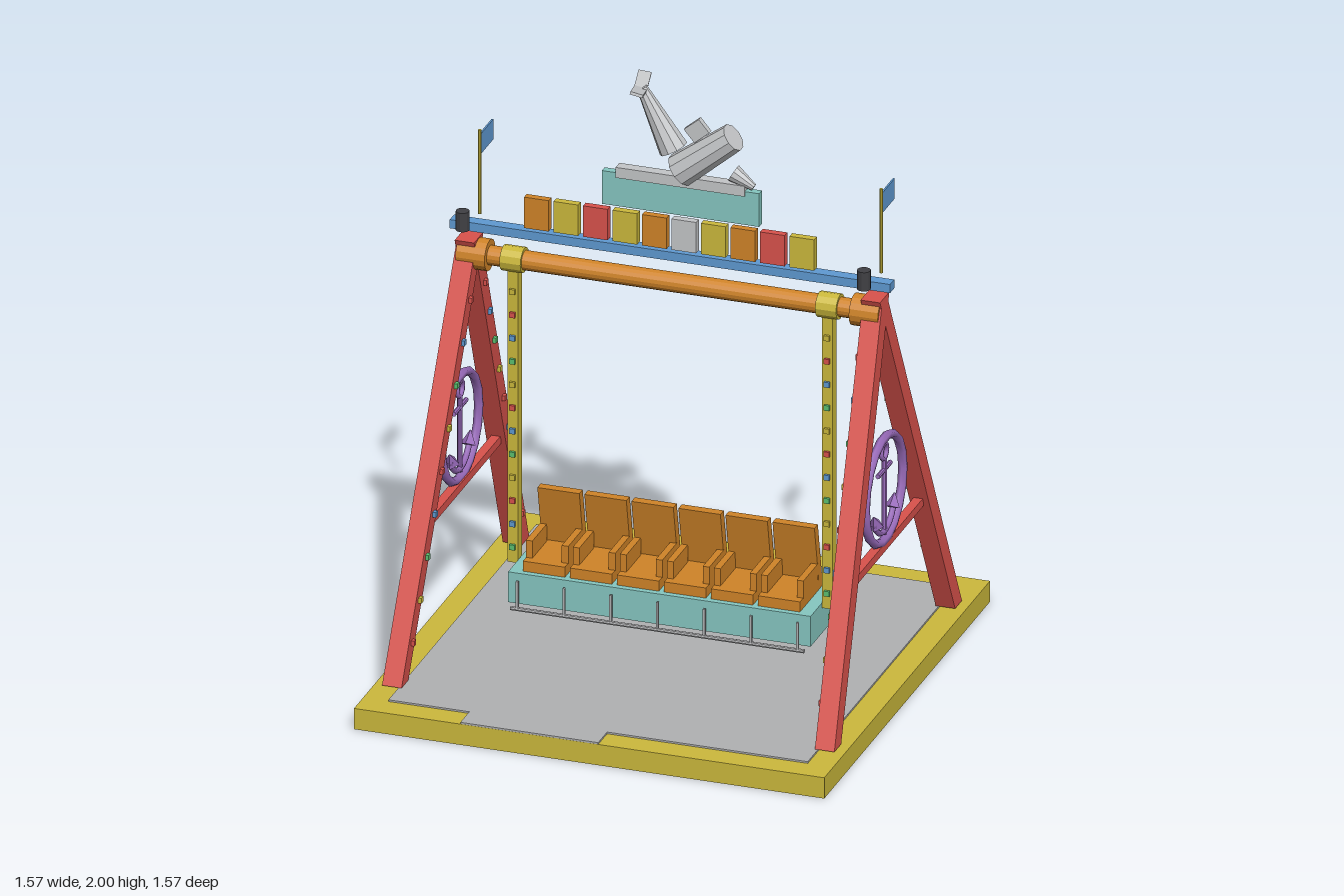
import * as THREE from 'three';

const paint = (name, color) => {
  const m = new THREE.MeshStandardMaterial({ color });
  m.name = name;
  return m;
};

export function createModel() {
  const model = new THREE.Group();
  model.name = 'swingRide';
  const yellow = paint('yellow', 0xccb93c), red = paint('red', 0xd9524c), orange = paint('orange', 0xd08428);
  const blue = paint('blue', 0x5f9ad2), teal = paint('teal', 0x86c7c1), purple = paint('purple', 0x9a6cbc);
  const floorGrey = paint('floor grey', 0xb0b1b3), pale = paint('pale grey', 0xc4c6c8);
  const dark = paint('charcoal', 0x404044), green = paint('green', 0x5cc070);
  const bulbs = [red, blue, green, yellow];

  const add = (name, geo, mat, x = 0, y = 0, z = 0, parent = model) => {
    const mesh = new THREE.Mesh(geo, mat);
    mesh.name = name;
    mesh.position.set(x, y, z);
    parent.add(mesh);
    return mesh;
  };
  const box = (name, mat, w, h, d, x, y, z, parent) => add(name, new THREE.BoxGeometry(w, h, d), mat, x, y, z, parent);
  const faceted = (geo) => {
    const g = geo.toNonIndexed();
    g.computeVertexNormals();
    return g;
  };
  // Faceted round bar running from point a to point b
  const bar = (name, mat, a, b, r0, r1 = r0, sides = 12, parent = model) => {
    const p = new THREE.Vector3(...a), q = new THREE.Vector3(...b), dir = q.clone().sub(p);
    const mesh = add(name, faceted(new THREE.CylinderGeometry(r1, r0, dir.length(), sides)), mat, 0, 0, 0, parent);
    mesh.position.copy(p).add(q).multiplyScalar(0.5);
    mesh.quaternion.setFromUnitVectors(new THREE.Vector3(0, 1, 0), dir.normalize());
    return mesh;
  };
  // Box whose top is shifted against its bottom
  const leaning = (name, mat, w, d, bottom, top, parent) => {
    const geo = new THREE.BoxGeometry(w, 1, d), p = geo.attributes.position;
    for (let i = 0; i < p.count; i++) {
      const e = p.getY(i) > 0 ? top : bottom;
      p.setXYZ(i, p.getX(i) + e[0], e[1], p.getZ(i) + e[2]);
    }
    geo.computeVertexNormals();
    return add(name, geo, mat, 0, 0, 0, parent);
  };

  // Platform and deck with an entrance gap at the front
  box('platform', yellow, 1.57, 0.072, 1.57, 0, 0.036, 0);
  box('deck', floorGrey, 1.4, 0.008, 1.4, 0, 0.074, 0);
  box('entrance', floorGrey, 0.46, 0.008, 0.085, -0.2, 0.074, 0.742);

  // Main axle and roof beam
  bar('axle', orange, [-0.64, 1.33, 0], [0.64, 1.33, 0], 0.032, 0.032, 16);
  box('roofBeam', blue, 1.47, 0.03, 0.04, 0, 1.427, 0);

  // Everything that stands at both ends
  for (const s of [-1, 1]) {
    for (const f of [-1, 1]) {
      leaning('leg', red, 0.065, 0.065, [s * 0.7225, 0.078, f * 0.572], [s * 0.6775, 1.385, f * -0.012]);
      for (let i = 0; i < 9; i++) {
        const y = 1.2 - i * 0.125, t = (1.385 - y) / 1.307;
        box('legLight', bulbs[i % 4], 0.014, 0.018, 0.018, s * (0.641 + 0.045 * t), y, f * (-0.012 + 0.584 * t));
      }
    }
    box('legBrace', red, 0.03, 0.028, 0.68, s * 0.705, 0.53, 0);
    bar('axleHub', orange, [s * 0.608, 1.33, 0], [s * 0.705, 1.33, 0], 0.052, 0.052, 16);
    bar('axleCollar', yellow, [s * 0.492, 1.33, 0], [s * 0.562, 1.33, 0], 0.042, 0.042, 12);

    // Swing arm with a row of lights
    box('swingArm', yellow, 0.036, 1.02, 0.036, s * 0.525, 0.795, 0);
    for (let i = 0; i < 12; i++) {
      box('armLight', bulbs[(i + 3) % 4], 0.018, 0.018, 0.01, s * 0.525, 1.225 - i * 0.0805, 0.022);
    }

    // Anchor emblem in a ring
    const emblem = new THREE.Group();
    emblem.name = 'anchorEmblem';
    emblem.position.set(s * 0.708, 0.72, 0);
    emblem.rotation.y = Math.PI / 2;
    model.add(emblem);
    add('ring', new THREE.TorusGeometry(0.178, 0.015, 6, 18), purple, 0, 0, 0, emblem);
    add('anchorEye', new THREE.TorusGeometry(0.026, 0.008, 6, 12), purple, 0, 0.132, 0, emblem);
    bar('anchorShank', purple, [0, -0.155, 0], [0, 0.108, 0], 0.009, 0.009, 8, emblem);
    bar('anchorStock', purple, [-0.06, 0.068, 0], [0.06, 0.068, 0], 0.008, 0.008, 8, emblem);
    const arc = add('anchorArms', new THREE.TorusGeometry(0.1, 0.01, 6, 12, Math.PI * 0.75), purple, 0, -0.045, 0, emblem);
    arc.rotation.z = Math.PI * 1.125;
    for (const f of [-1, 1]) {
      bar('anchorFluke', purple, [f * 0.075, -0.095, 0], [f * 0.1, -0.055, 0], 0.026, 0.002, 4, emblem);
    }

    // Drum, pole and flag above the beam
    bar('drum', dark, [s * 0.67, 1.445, 0.083], [s * 0.67, 1.51, 0.083], 0.022);
    bar('flagPole', yellow, [s * 0.67, 1.43, -0.08], [s * 0.67, 1.72, -0.08], 0.006, 0.006, 8);
    box('flag', blue, 0.006, 0.07, 0.115, s * 0.67, 1.67, -0.143);
  }

  // Gondola, six seats and foot rail
  box('gondola', teal, 1.01, 0.105, 0.24, 0, 0.247, 0);
  for (let i = 0; i < 6; i++) {
    const seat = new THREE.Group();
    seat.name = 'seat';
    seat.position.x = (i - 2.5) * 0.157;
    model.add(seat);
    box('cushion', orange, 0.14, 0.035, 0.19, 0, 0.317, 0.005, seat);
    leaning('backrest', orange, 0.14, 0.032, [0, 0.3, -0.1], [0, 0.53, -0.053], seat);
    for (const s of [-1, 1]) box('armrest', orange, 0.022, 0.06, 0.14, s * 0.06, 0.364, 0, seat);
  }
  bar('footRail', floorGrey, [-0.49, 0.184, 0.138], [0.49, 0.184, 0.138], 0.007, 0.007, 8);
  for (let i = -3; i <= 3; i++) box('railStrut', floorGrey, 0.008, 0.1, 0.008, i * 0.156, 0.23, 0.138);

  // Row of sign tiles and the panel above
  [orange, yellow, red, yellow, orange, pale, yellow, orange, red, yellow].forEach((mat, i) =>
    box('signTile', mat, 0.082, 0.107, 0.025, (i - 4.5) * 0.0985, 1.508, 0.015));
  box('panel', teal, 0.525, 0.115, 0.026, 0.028, 1.622, -0.014);
  box('panelCap', pale, 0.43, 0.036, 0.036, 0.028, 1.682, -0.014);

  // Leaping sea animal
  const z = -0.015;
  bar('body', pale, [0.022, 1.715, z], [0.2, 1.855, z], 0.057, 0.047, 10);
  bar('tail', pale, [0.0, 1.785, z], [-0.105, 1.98, z], 0.048, 0.018, 10);
  bar('snout', pale, [0.2, 1.732, z], [0.268, 1.692, z], 0.03, 0.012, 10);
  const fin = box('dorsalFin', pale, 0.065, 0.055, 0.02, 0.08, 1.862, z);
  fin.rotation.z = 0.7;
  for (const s of [-1, 1]) {
    const fluke = box('tailFluke', pale, 0.042, 0.01, 0.088, -0.11 + s * 0.008, 1.986, z + s * 0.043);
    fluke.rotation.set(-s * 0.2, 0.18, -0.2);
  }
  return model;
}
